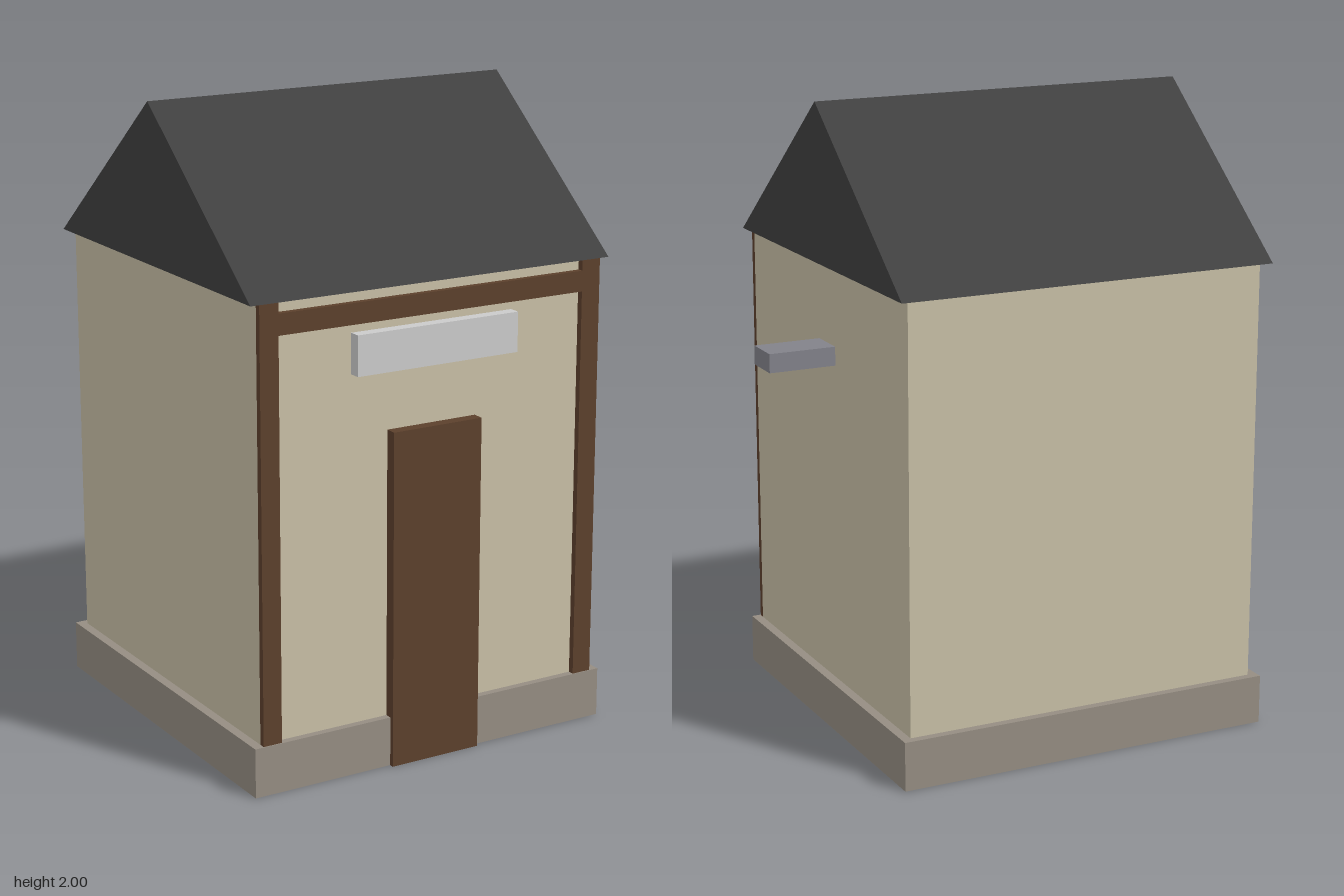
import * as THREE from 'three';

const material = (name, color) => {
  const m = new THREE.MeshStandardMaterial({ color });
  m.name = name;
  return m;
};

export function createModel() {
  const plaster = material('plaster', 0xc8bfa6);
  const stone = material('stone', 0x958d82);
  const timber = material('timber', 0x5c402c);
  const slate = material('slate', 0x404040);
  const signGrey = material('sign grey', 0xcacaca);
  const metal = material('metal', 0x82828a);

  const model = new THREE.Group();
  model.name = 'hut';

  // Box given by its extents on each axis
  const box = (name, mat, [x0, x1], [y0, y1], [z0, z1]) => {
    const mesh = new THREE.Mesh(new THREE.BoxGeometry(x1 - x0, y1 - y0, z1 - z0), mat);
    mesh.position.set((x0 + x1) / 2, (y0 + y1) / 2, (z0 + z1) / 2);
    mesh.name = name;
    model.add(mesh);
  };

  // Plinth and walls
  box('plinth', stone, [-0.72, 0.53], [0, 0.157], [-0.626, 0.615]);
  box('walls', plaster, [-0.69, 0.5], [0.1, 1.505], [-0.6, 0.592]);

  // Timber frame on the front wall
  box('rightPost', timber, [-0.69, -0.628], [0.157, 1.504], [0.592, 0.612]);
  box('leftPost', timber, [0.435, 0.5], [0.157, 1.504], [0.592, 0.612]);
  box('crossBeam', timber, [-0.628, 0.435], [1.405, 1.47], [0.592, 0.612]);

  // Door, sign board and side bracket
  box('door', timber, [-0.25, 0.06], [0, 1.065], [0.58, 0.63]);
  box('signBoard', signGrey, [-0.375, 0.187], [1.252, 1.377], [0.59, 0.63]);
  box('sideBracket', metal, [0.49, 0.717], [1.19, 1.25], [-0.067, 0.057]);

  // Gable roof: triangle in the z-y plane, extruded along x
  const gable = new THREE.Shape([
    new THREE.Vector2(-0.615, 1.503),
    new THREE.Vector2(0.626, 1.503),
    new THREE.Vector2(0.005, 2),
  ]);
  const roofGeometry = new THREE.ExtrudeGeometry(gable, { depth: 1.25, bevelEnabled: false });
  roofGeometry.rotateY(Math.PI / 2);
  const roof = new THREE.Mesh(roofGeometry, slate);
  roof.position.x = -0.72;
  roof.name = 'roof';
  model.add(roof);

  return model;
}
